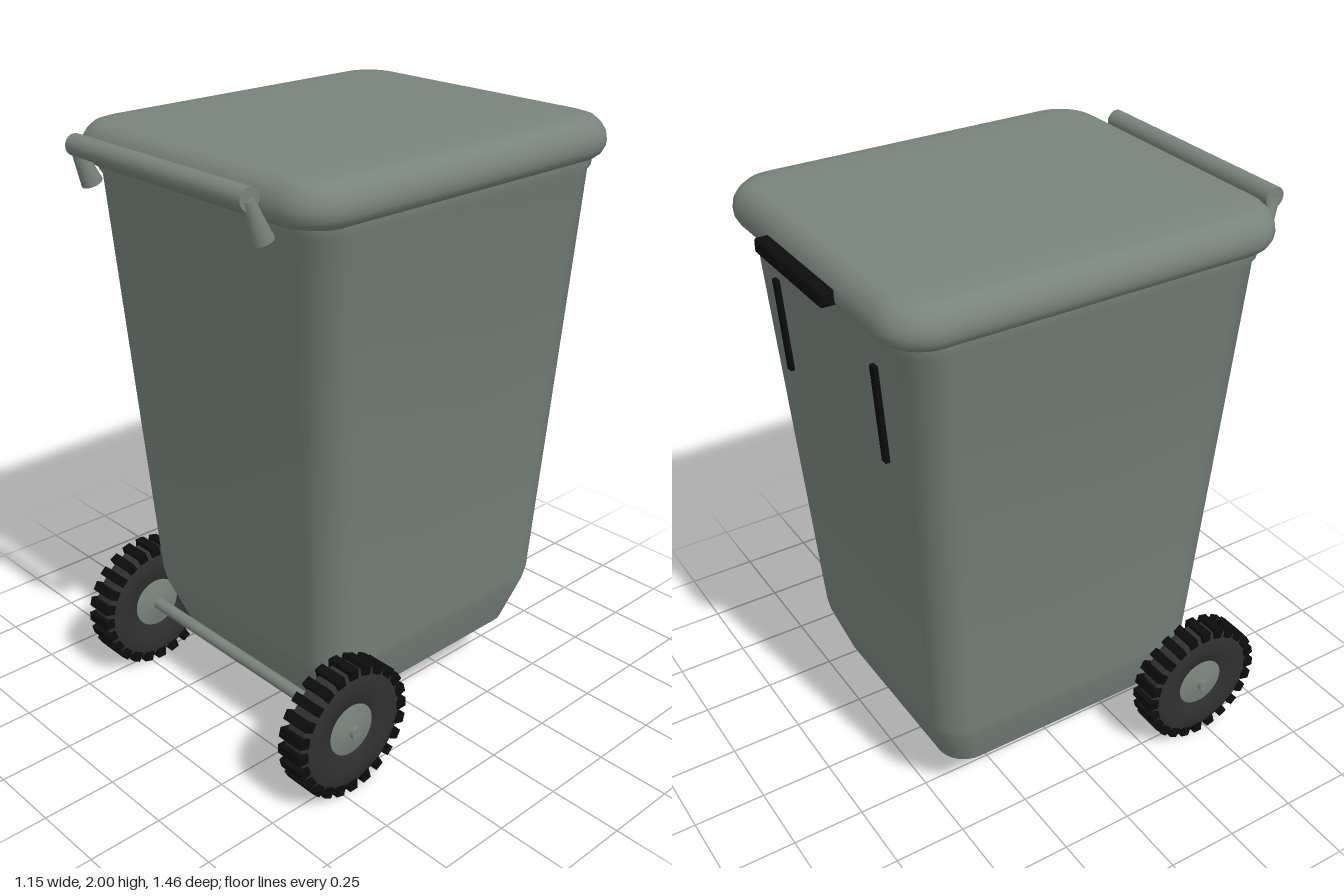
import * as THREE from 'three';
import { toCreasedNormals } from 'three/addons/utils/BufferGeometryUtils.js';
import { RoundedBoxGeometry } from 'three/addons/geometries/RoundedBoxGeometry.js';

const CORNER_STEPS = 8;

// Rounded rectangle ring, counter-clockwise seen from above
function ring([y, halfWidth, front, back, radius]) {
  const corners = [
    [halfWidth - radius, back + radius], [-halfWidth + radius, back + radius],
    [-halfWidth + radius, front - radius], [halfWidth - radius, front - radius],
  ];
  const points = [];
  corners.forEach(([cx, cz], q) => {
    for (let i = 0; i <= CORNER_STEPS; i++) {
      const a = (q + i / CORNER_STEPS) * Math.PI / 2;
      points.push(cx + radius * Math.cos(a), y, cz - radius * Math.sin(a));
    }
  });
  return points;
}

// Closed skin through rings listed from bottom to top
function loft(sections, crease) {
  const n = 4 * (CORNER_STEPS + 1);
  const positions = sections.flatMap(ring);
  const index = [];
  for (let s = 0; s < sections.length - 1; s++) {
    for (let i = 0; i < n; i++) {
      const a = s * n + i, b = s * n + (i + 1) % n;
      index.push(a, b, b + n, a, b + n, a + n);
    }
  }
  const bottom = sections.length * n, last = (sections.length - 1) * n;
  for (const s of [sections[0], sections[sections.length - 1]]) {
    positions.push(0, s[0], (s[2] + s[3]) / 2);
  }
  for (let i = 0; i < n; i++) {
    const j = (i + 1) % n;
    index.push(bottom, j, i, bottom + 1, last + i, last + j);
  }
  const geometry = new THREE.BufferGeometry();
  geometry.setAttribute('position', new THREE.Float32BufferAttribute(positions, 3));
  geometry.setIndex(index);
  return toCreasedNormals(geometry, crease);
}

function lathe(profile, segments = 40) {
  const points = profile.map(([r, h]) => new THREE.Vector2(r, h));
  return toCreasedNormals(new THREE.LatheGeometry(points, segments), 0.7);
}

export function createModel() {
  const model = new THREE.Group();
  model.name = 'wheeledBin';
  const material = (name, color) => {
    const m = new THREE.MeshStandardMaterial({ color });
    m.name = name;
    return m;
  };
  const grey = material('greyGreenPlastic', 0x78847c);
  const rubber = material('darkRubber', 0x303030);
  const black = material('blackTrim', 0x0c0c0c);
  const add = (parent, name, geometry, mat, x = 0, y = 0, z = 0) => {
    const mesh = new THREE.Mesh(geometry, mat);
    mesh.name = name;
    mesh.position.set(x, y, z);
    parent.add(mesh);
    return mesh;
  };

  // Tapered body with a chamfered foot: y, half width, front, back, corner radius
  add(model, 'body', loft([
    [0.2, 0.41, 0.41, -0.475, 0.1],
    [0.36, 0.462, 0.468, -0.528, 0.11],
    [0.4, 0.47, 0.475, -0.535, 0.11],
    [1.83, 0.538, 0.572, -0.636, 0.12],
    [1.845, 0.546, 0.58, -0.644, 0.12],
    [1.88, 0.546, 0.58, -0.644, 0.12],
  ], 0.9), grey);

  // Rounded lid, each ring given as height and inset
  add(model, 'lid', loft([
    [1.865, 0.03], [1.88, 0.012], [1.9, 0.002], [1.92, 0], [1.945, 0.004],
    [1.97, 0.018], [1.988, 0.036], [1.996, 0.06], [2, 0.11],
  ].map(([y, d]) => [y, 0.573 - d, 0.63 - d, -0.693 + d, 0.14 - d * 0.6]), 0.9), grey);

  // Front push bar on two flared arms
  const pushHandle = new THREE.Group();
  pushHandle.name = 'pushHandle';
  model.add(pushHandle);
  add(pushHandle, 'pushBar', new THREE.CylinderGeometry(0.034, 0.034, 0.81, 20), grey, 0, 1.955, 0.695)
    .rotation.z = Math.PI / 2;
  for (const side of [-1, 1]) {
    const arm = add(pushHandle, 'handleArm', new THREE.CylinderGeometry(0.018, 0.034, 0.13, 16),
      grey, side * 0.398, 1.893, 0.673);
    arm.rotation.x = 0.38;
  }

  // Rear grip and the two vertical strips below it
  add(model, 'rearGrip', new RoundedBoxGeometry(0.43, 0.046, 0.055, 2, 0.008), black, 0, 1.912, -0.706);
  for (const side of [-1, 1]) {
    add(model, 'rearStrip', new THREE.BoxGeometry(0.026, 0.32, 0.018), black, side * 0.315, 1.577, -0.6235)
      .rotation.x = -0.07;
  }

  // Axle
  add(model, 'axle', new THREE.CylinderGeometry(0.021, 0.021, 1.15, 16), grey, 0, 0.23, 0.458)
    .rotation.z = Math.PI / 2;

  // Wheels: tyre, hub and tread blocks
  const tyre = lathe([
    [0.08, -0.03], [0.095, -0.04], [0.15, -0.046], [0.195, -0.044], [0.213, -0.034],
    [0.213, 0.034], [0.195, 0.044], [0.15, 0.046], [0.095, 0.04], [0.08, 0.03],
  ], 48);
  const hub = lathe([
    [0, -0.05], [0.035, -0.048], [0.09, -0.036], [0.09, 0.036], [0.035, 0.048], [0, 0.05],
  ], 32);
  const block = new THREE.BoxGeometry(0.035, 0.1, 0.032);
  const treadCount = 24;
  for (const side of [-1, 1]) {
    const wheel = new THREE.Group();
    wheel.name = side > 0 ? 'leftWheel' : 'rightWheel';
    wheel.position.set(side * 0.51, 0.23, 0.458);
    wheel.rotation.z = -side * Math.PI / 2;
    model.add(wheel);
    add(wheel, 'tyre', tyre, rubber);
    add(wheel, 'hub', hub, grey);
    for (let i = 0; i < treadCount; i++) {
      const a = i / treadCount * Math.PI * 2;
      add(wheel, 'treadBlock', block, black, 0.2115 * Math.cos(a), 0, 0.2115 * Math.sin(a))
        .rotation.y = -a;
    }
  }
  return model;
}
